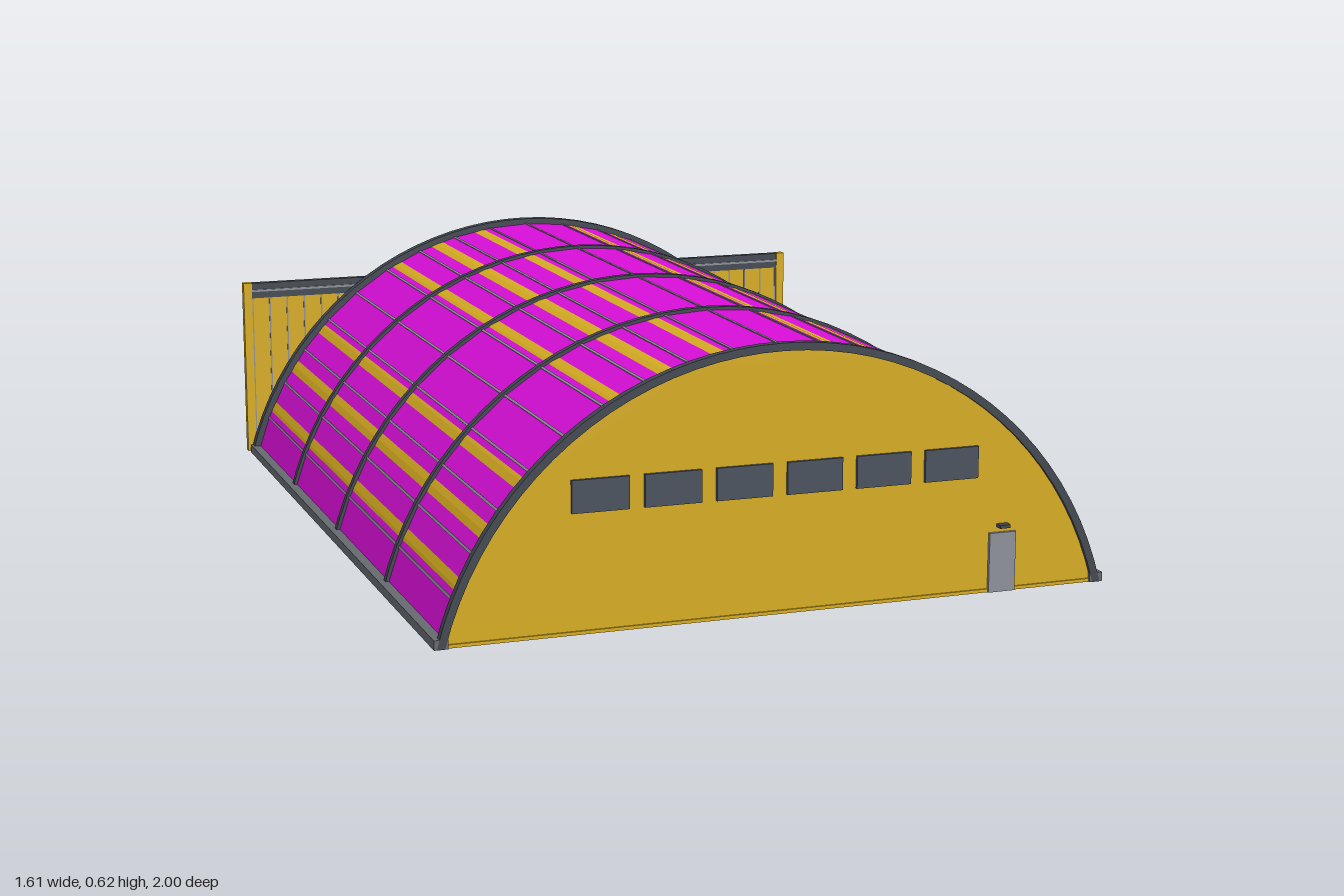
import * as THREE from 'three';

const CY = -0.206; // height of the arch centre

export function createModel() {
  const model = new THREE.Group();
  model.name = 'hangar';

  const paint = (name, color, extra = {}) => {
    const m = new THREE.MeshStandardMaterial({ color, ...extra });
    m.name = name;
    return m;
  };
  const both = { side: THREE.DoubleSide, flatShading: true };
  const gold = paint('gold', 0xd6ac22, both);
  const magenta = paint('magenta', 0xd90fd9, { flatShading: true });
  const steel = paint('dark steel', 0x434851);
  const glass = paint('window slate', 0x4b525e);
  const grey = paint('light grey', 0x8d9199);
  const rail = paint('rail grey', 0x666a70);

  const add = (name, geometry, material) => {
    const mesh = new THREE.Mesh(geometry, material);
    mesh.name = name;
    model.add(mesh);
    return mesh;
  };
  // box from its limits on each axis
  const box = (name, mat, x0, x1, y0, y1, z0, z1) => {
    const mesh = add(name, new THREE.BoxGeometry(x1 - x0, y1 - y0, z1 - z0), mat);
    mesh.position.set((x0 + x1) / 2, (y0 + y1) / 2, (z0 + z1) / 2);
    return mesh;
  };
  const half = (r) => Math.acos(-CY / r); // half angle of an arch standing on y = 0

  // faceted vault surface along z
  const vault = (name, mat, r, sides, z0, z1) => {
    const a = half(0.813);
    const g = new THREE.CylinderGeometry(r, r, z1 - z0, sides, 1, true, -a, 2 * a);
    g.rotateX(-Math.PI / 2);
    add(name, g, mat).position.set(0, CY, (z0 + z1) / 2);
  };
  // solid arch ring
  const arch = (name, mat, rIn, rOut, z0, z1) => {
    const a = half(rOut), b = half(rIn), up = Math.PI / 2;
    const s = new THREE.Shape();
    s.absarc(0, 0, rOut, up - a, up + a, false);
    s.absarc(0, 0, rIn, up + b, up - b, true);
    const g = new THREE.ExtrudeGeometry(s, { depth: z1 - z0, bevelEnabled: false, curveSegments: 20 });
    add(name, g, mat).position.set(0, CY, z0);
  };

  // roof: the coarser lining shows through the outer skin as gold bands
  const R = 0.813;
  vault('roofSkin', magenta, R, 20, -0.94, 0.975);
  vault('roofLining', gold, R * 0.9996, 16, -0.94, 0.975);

  // standing seams on the skin joints
  const a = half(R);
  for (let i = 1; i < 20; i++) {
    const t = -a + (2 * a * i) / 20;
    const seam = add('roofSeam', new THREE.BoxGeometry(0.006, 0.004, 1.91), grey);
    seam.position.set(R * Math.sin(t), CY + R * Math.cos(t), 0.018);
    seam.rotation.z = -t;
  }

  // ribs, front trim and rear portal
  for (const z of [0.503, 0.017, -0.467]) arch('roofRib', steel, 0.803, 0.82, z - 0.009, z + 0.009);
  arch('frontTrim', steel, 0.804, 0.822, 0.965, 0.985);
  arch('rearPortal', steel, 0.8, 0.828, -0.95, -0.925);

  // floor and side rails
  box('floor', gold, -0.79, 0.79, 0, 0.008, -0.95, 0.98);
  for (const s of [-1, 1]) {
    const sill = box('sideRail', rail, 0.77, 0.802, 0, 0.022, -0.95, 0.985);
    sill.position.x *= s;
  }

  // front gable wall
  const wall = new THREE.Shape();
  wall.absarc(0, CY, 0.808, Math.PI / 2 - half(0.808), Math.PI / 2 + half(0.808), false);
  add('frontWall', new THREE.ExtrudeGeometry(wall, { depth: 0.008, bevelEnabled: false, curveSegments: 20 }), gold)
    .position.z = 0.968;

  // windows, entry door and lamp
  for (let i = 0; i < 6; i++) {
    const x = -0.425 + i * 0.167;
    box('window', glass, x - 0.066, x + 0.066, 0.273, 0.347, 0.976, 0.984);
  }
  box('entryDoor', grey, 0.51, 0.576, 0, 0.14, 0.976, 0.984);
  box('entryLamp', steel, 0.53, 0.556, 0.152, 0.16, 0.976, 0.995);

  // rear sliding doors, parked at both sides
  for (const s of [-1, 1]) {
    const span = (x0, x1) => (s > 0 ? [x0, x1] : [-x1, -x0]);
    box('slidingDoor', gold, ...span(0.45, 0.79), 0.012, 0.44, -0.982, -0.97);
    box('doorPost', gold, ...span(0.783, 0.806), 0, 0.475, -0.986, -0.964);
    for (let i = 0; i < 7; i++) {
      const x = 0.49 + i * 0.0485;
      box('doorRib', grey, ...span(x - 0.002, x + 0.002), 0.02, 0.43, -0.984, -0.968);
    }
    box('headerLamp', steel, ...span(0.255, 0.287), 0.445, 0.462, -1.0, -0.985);
  }

  // door header, its track, and the floor track
  box('doorHeader', steel, -0.783, 0.783, 0.432, 0.474, -0.986, -0.966);
  box('headerTrack', grey, -0.783, 0.783, 0.45, 0.456, -0.967, -0.963);
  box('floorTrack', steel, -0.8, 0.8, 0, 0.012, -0.988, -0.964);
  box('threshold', grey, -0.78, 0.78, 0, 0.012, -0.962, -0.95);

  // stored crates and floor blocks
  for (const z of [-0.5, -0.41, -0.26]) box('crate', gold, 0.63, 0.69, 0.008, 0.065, z - 0.03, z + 0.03);
  for (const x of [0.005, -0.067]) box('floorBlock', rail, x - 0.012, x + 0.012, 0.008, 0.026, -0.71, -0.685);

  return model;
}
